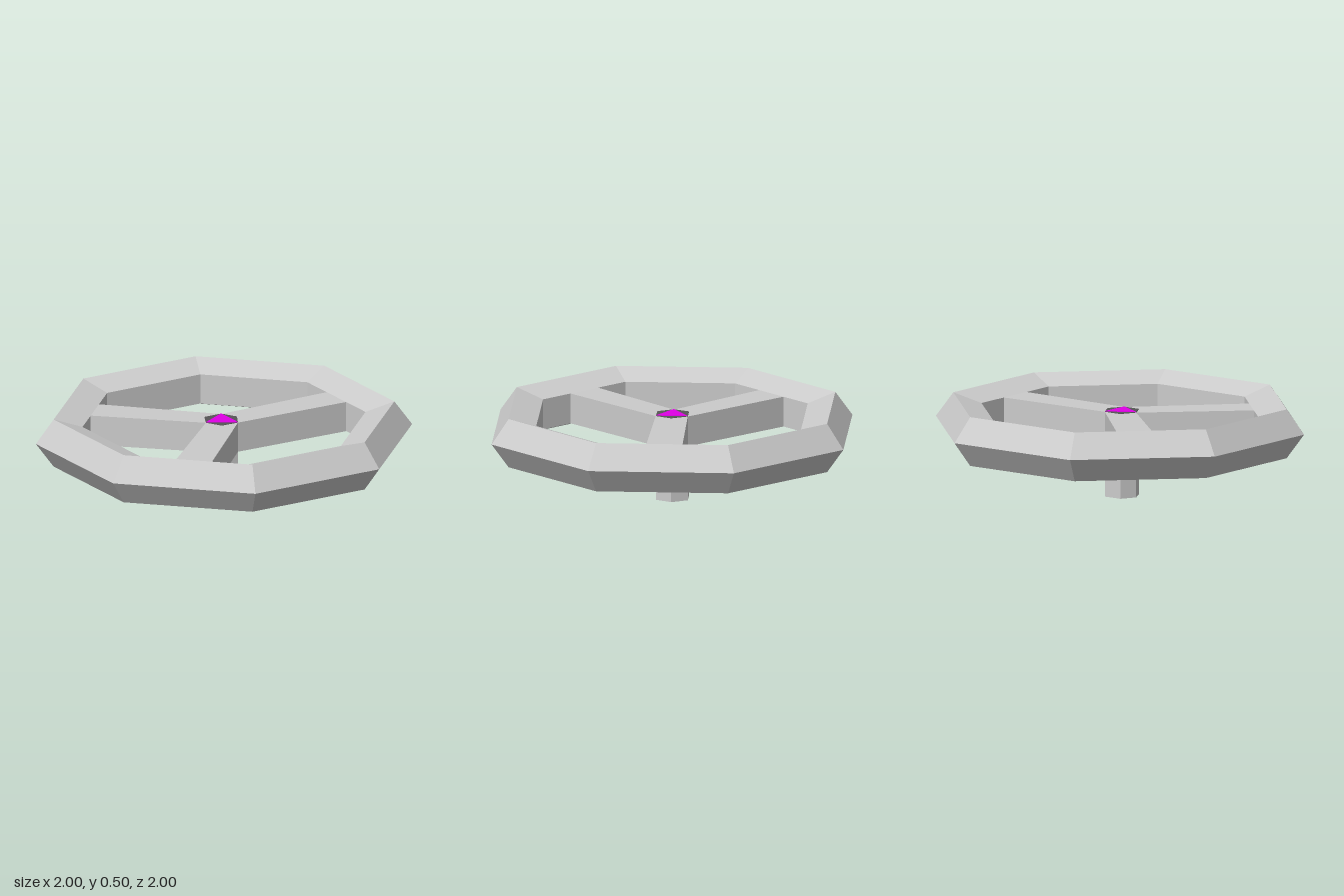
import * as THREE from 'three';

const grey = new THREE.MeshStandardMaterial({ color: 0xcccccc, flatShading: true });
const dark = new THREE.MeshStandardMaterial({ color: 0x555555, flatShading: true });
const magenta = new THREE.MeshStandardMaterial({ color: 0xe000e6, flatShading: true });

// Upright prism from an outline of [x, z] points
function prism(name, outline, bottom, top, material) {
  const shape = new THREE.Shape(outline.map(([x, z]) => new THREE.Vector2(x, -z)));
  const geometry = new THREE.ExtrudeGeometry(shape, { depth: top - bottom, bevelEnabled: false });
  geometry.rotateX(-Math.PI / 2).translate(0, bottom, 0);
  const mesh = new THREE.Mesh(geometry, material);
  mesh.name = name;
  return mesh;
}

export function createModel() {
  const group = new THREE.Group();
  group.name = 'wheel';
  const ringRadius = 0.863, tube = 0.137, midY = 0.372;
  const halfWall = tube * Math.sin(Math.PI / 5);
  const low = midY - halfWall, high = midY + halfWall;

  // Eight-sided rim with a five-sided section
  const rim = new THREE.Mesh(new THREE.TorusGeometry(ringRadius, tube, 5, 8), grey);
  rim.name = 'rim';
  rim.rotation.x = -Math.PI / 2;
  rim.position.y = midY;
  group.add(rim);

  // Six-sided post; every second corner is a hub corner
  const hexagon = [[0, 0.09], [0.075, 0.03], [0.065, -0.065], [-0.03, -0.105], [-0.1, -0.045], [-0.09, 0.05]];
  const hub = [hexagon[0], hexagon[2], hexagon[4]];
  group.add(prism('post', hexagon, 0, high - 0.004, grey));
  group.add(prism('hubCap', hexagon, high - 0.004, high + 0.002, dark));
  group.add(prism('hubTriangle', hub, high, high + 0.004, magenta));

  // Spokes widen from the hub sides to the middle third of a rim wall
  const wallRadius = (ringRadius - tube * Math.cos(Math.PI / 5)) * Math.cos(Math.PI / 8) + 0.002;
  const halfWidth = 0.096;
  [22.5, 247.5, 157.5].forEach((degrees, i) => {
    const a = THREE.MathUtils.degToRad(degrees), c = Math.cos(a), s = Math.sin(a);
    const end = (w) => [wallRadius * c - w * s, wallRadius * s + w * c];
    const outline = [hub[i], hub[(i + 1) % 3], end(-halfWidth), end(halfWidth)];
    group.add(prism('spoke' + (i + 1), outline, low, high, grey));
  });
  return group;
}
